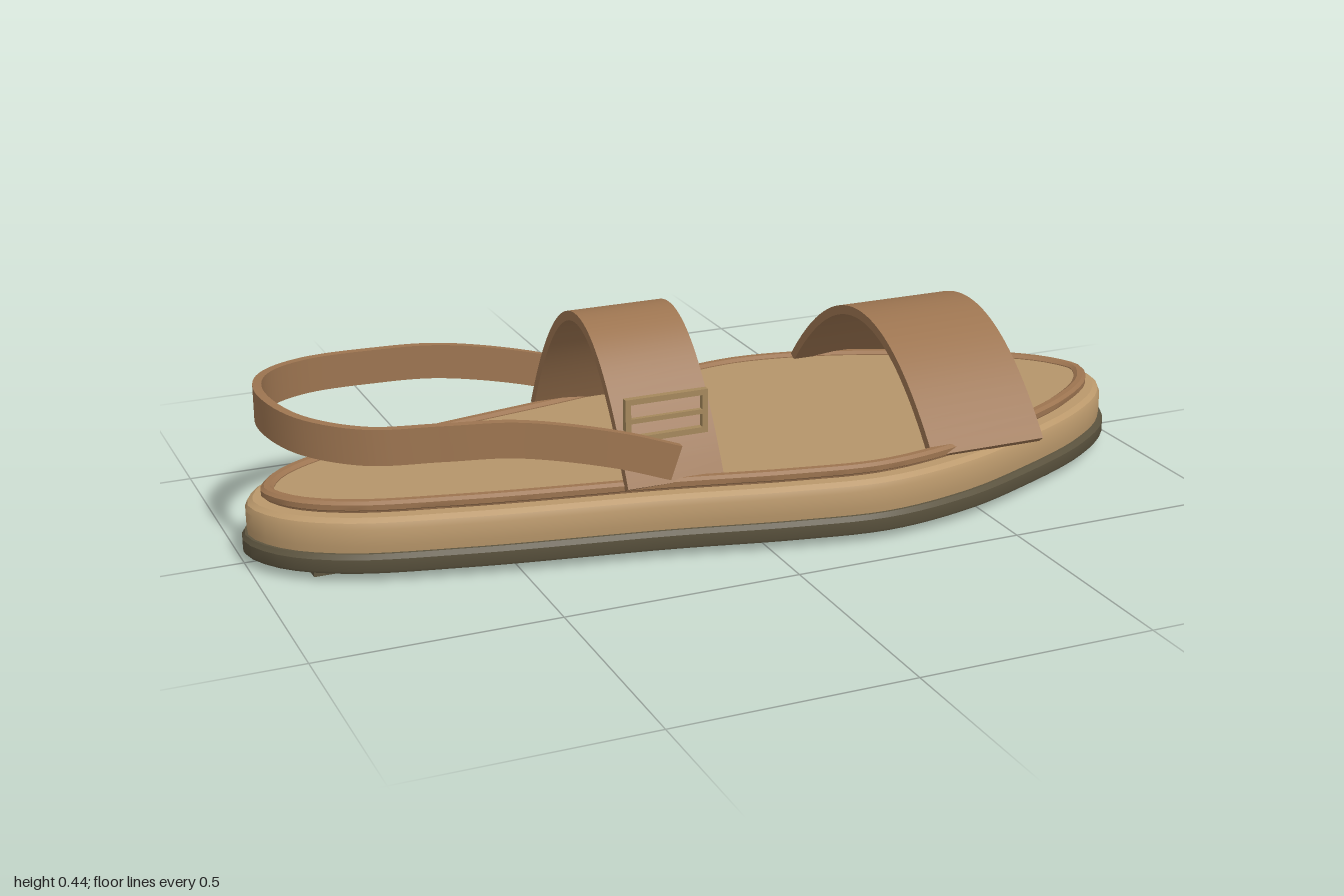
import * as THREE from 'three';
import { toCreasedNormals } from 'three/addons/utils/BufferGeometryUtils.js';

const mat = (name, color) => {
  const m = new THREE.MeshStandardMaterial({ color });
  m.name = name;
  return m;
};

// Half outline of the sole from toe to heel: [x, half width]
const HALF = [[1, 0], [0.955, 0.105], [0.83, 0.212], [0.62, 0.318], [0.45, 0.382], [0.25, 0.414],
  [0.05, 0.385], [-0.2, 0.327], [-0.6, 0.25], [-0.84, 0.182], [-0.955, 0.1], [-1, 0]];
const SEG = 120;

function makeOutline() {
  const pts = HALF.map(([x, w]) => new THREE.Vector3(x, 0, -w));
  for (let i = HALF.length - 2; i > 0; i--) pts.push(new THREE.Vector3(HALF[i][0], 0, HALF[i][1]));
  const curve = new THREE.CatmullRomCurve3(pts, true, 'centripetal');
  return Array.from({ length: SEG }, (_, i) => {
    const p = curve.getPointAt(i / SEG), t = curve.getTangentAt(i / SEG);
    return { x: p.x, z: p.z, nx: -t.z, nz: t.x };
  });
}

// Joins rings of points (arrays of Vector3) into a skin, skipping empty triangles
function skin(rings, closeRing, crease) {
  const pos = [];
  const tri = (a, b, c) => {
    if (a.equals(b) || b.equals(c) || a.equals(c)) return;
    pos.push(...a.toArray(), ...b.toArray(), ...c.toArray());
  };
  for (let j = 0; j < rings.length - 1; j++) {
    const n = rings[j].length;
    for (let i = 0; i < (closeRing ? n : n - 1); i++) {
      const k = (i + 1) % n;
      tri(rings[j][i], rings[j][k], rings[j + 1][k]);
      tri(rings[j][i], rings[j + 1][k], rings[j + 1][i]);
    }
  }
  const g = new THREE.BufferGeometry();
  g.setAttribute('position', new THREE.Float32BufferAttribute(pos, 3));
  return toCreasedNormals(g, crease);
}

// Sole layer: profile of [inset from the outline, y]; a null inset closes it at the middle
function layer(outline, profile) {
  const rings = profile.map(([d, y]) => outline.map((o) => d === null
    ? new THREE.Vector3(0, y, 0)
    : new THREE.Vector3(o.x - o.nx * d, y, o.z - o.nz * d)));
  return skin(rings, true, 0.5);
}

// Arched strap over the foot
function archStrap(x0, x1, half, base, top, thick) {
  const N = 40, outer = [], inner = [];
  for (let i = 0; i <= N; i++) {
    const u = (i / N) * 2 - 1, h = top - base;
    const z = u * half, y = base + h * (1 - u * u);
    const n = new THREE.Vector2((2 * h * u) / half, 1).normalize();
    outer.push(new THREE.Vector2(z, y));
    inner.unshift(new THREE.Vector2(z - n.x * thick, y - n.y * thick));
  }
  const g = new THREE.ExtrudeGeometry(new THREE.Shape([...outer, ...inner]),
    { depth: x1 - x0, bevelEnabled: false });
  g.rotateY(Math.PI / 2);
  g.translate(x0, 0, 0);
  return toCreasedNormals(g, 0.6);
}

// Flat band swept around the heel, standing on edge
function heelBand(width, thick) {
  const side = [[-0.175, 0.19, 0.281], [-0.3, 0.234, 0.274], [-0.5, 0.281, 0.26],
    [-0.65, 0.293, 0.25], [-0.8, 0.3, 0.226], [-0.905, 0.31, 0.14]];
  const pts = side.map((p) => new THREE.Vector3(...p));
  pts.push(new THREE.Vector3(-0.945, 0.318, 0));
  for (const [x, y, z] of [...side].reverse()) pts.push(new THREE.Vector3(x, y, -z));
  const curve = new THREE.CatmullRomCurve3(pts, false, 'centripetal');
  const up = new THREE.Vector3(0, 1, 0), N = 90, rings = [];
  for (let i = 0; i <= N; i++) {
    const p = curve.getPointAt(i / N), t = curve.getTangentAt(i / N);
    const out = new THREE.Vector3().crossVectors(up, t).normalize();
    const v = new THREE.Vector3().crossVectors(t, out);
    rings.push([[1, 1], [-1, 1], [-1, -1], [1, -1]].map(([a, b]) =>
      p.clone().addScaledVector(out, a * thick / 2).addScaledVector(v, b * width / 2)));
  }
  // End caps
  const cap = (r) => r.map(() => r[0].clone().add(r[2]).multiplyScalar(0.5));
  return skin([cap(rings[0]), ...rings, cap(rings[N])], true, 0.6);
}

export function createModel() {
  const model = new THREE.Group();
  model.name = 'sandal';
  const outsoleMat = mat('dark olive rubber', 0x5c543f);
  const midsoleMat = mat('tan midsole', 0xba986b);
  const insoleMat = mat('tan footbed', 0xb5956a);
  const leather = mat('brown leather', 0x9c7450);
  const metal = mat('dull brass', 0xa5885c);
  const add = (name, geometry, material) => {
    const m = new THREE.Mesh(geometry, material);
    m.name = name;
    model.add(m);
    return m;
  };
  const outline = makeOutline();

  // Sole layers from the ground up
  add('outsole', layer(outline, [[null, 0.02], [0.003, 0.02], [0, 0.026], [0, 0.05],
    [0.006, 0.06], [null, 0.06]]), outsoleMat);
  add('midsole', layer(outline, [[null, 0.058], [0.012, 0.058], [0.01, 0.075], [0.01, 0.11],
    [0.015, 0.122], [0.026, 0.13], [null, 0.13]]), midsoleMat);
  add('footbed', layer(outline, [[null, 0.128], [0.066, 0.128], [0.066, 0.147],
    [null, 0.147]]), insoleMat);
  add('footbedRim', layer(outline, [[0.07, 0.128], [0.052, 0.128], [0.05, 0.134], [0.043, 0.138],
    [0.043, 0.149], [0.05, 0.155], [0.062, 0.155], [0.07, 0.149], [0.07, 0.128]]), leather);

  // Tread bars under the sole, following its width
  for (let i = 0; i < 10; i++) {
    const x = -0.852 + i * 0.1875;
    let k = 0;
    while (HALF[k + 1][0] > x) k++;
    const [xa, wa] = HALF[k], [xb, wb] = HALF[k + 1];
    const w = wa + (wb - wa) * (x - xa) / (xb - xa);
    const bar = add('treadBar', new THREE.BoxGeometry(0.075, 0.022, w * 1.45), outsoleMat);
    bar.position.set(x, 0.011, 0);
  }

  // Straps
  add('toeStrap', archStrap(0.38, 0.648, 0.347, 0.14, 0.358, 0.02), leather);
  add('instepStrap', archStrap(-0.28, -0.07, 0.287, 0.148, 0.435, 0.02), leather);
  add('heelStrap', heelBand(0.074, 0.018), leather);

  // Buckle frame with a crossbar on the outer side
  const frame = new THREE.Shape([[-0.27, 0.232], [-0.09, 0.232], [-0.09, 0.325], [-0.27, 0.325]]
    .map((p) => new THREE.Vector2(...p)));
  frame.holes.push(new THREE.Path([[-0.258, 0.244], [-0.258, 0.313], [-0.102, 0.313], [-0.102, 0.244]]
    .map((p) => new THREE.Vector2(...p))));
  const frameGeo = new THREE.ExtrudeGeometry(frame, { depth: 0.014, bevelEnabled: false });
  add('buckleFrame', frameGeo, metal).position.z = 0.238;
  add('buckleBar', new THREE.BoxGeometry(0.165, 0.01, 0.01), metal).position.set(-0.18, 0.277, 0.245);

  return model;
}
